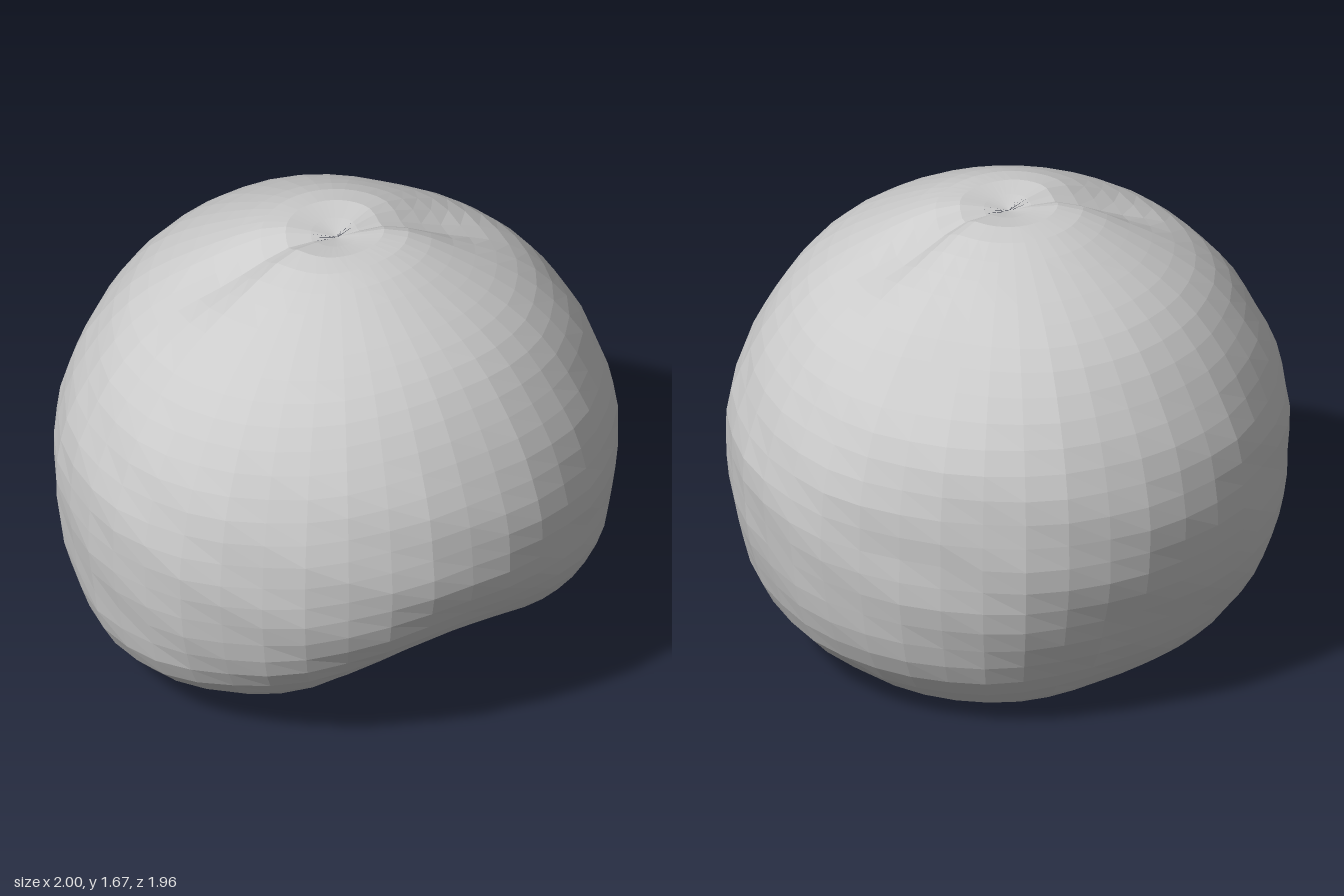
import * as THREE from 'three';

const COLS = 40, ROWS = 34;

// Shared upper profile, [radius, height], from the crown down to the widest ring
const crown = [[0, 1.645], [0.2, 1.675], [0.45, 1.575], [0.7, 1.41], [0.88, 1.17], [0.965, 0.95], [0.985, 0.75]];

// Lower profile in eight directions: flank, lower flank, rim, hollow underside
const lower = [
  [[0.89, 0.53], [0.75, 0.40], [0.52, 0.335], [0.25, 0.315]], // front arch
  [[0.94, 0.47], [0.85, 0.30], [0.68, 0.185], [0.35, 0.22]],
  [[0.96, 0.50], [0.86, 0.22], [0.62, 0.075], [0.30, 0.18]],  // left
  [[0.95, 0.45], [0.83, 0.17], [0.66, 0.035], [0.30, 0.17]],
  [[0.93, 0.50], [0.78, 0.20], [0.50, 0.00], [0.22, 0.16]],   // back
  [[0.95, 0.45], [0.82, 0.18], [0.64, 0.05], [0.28, 0.14]],
  [[0.97, 0.50], [0.88, 0.20], [0.66, 0.06], [0.28, 0.14]],   // right
  [[0.95, 0.47], [0.86, 0.30], [0.70, 0.175], [0.34, 0.20]],
];
const underside = [0, 0.31];

// Broad dents: angle, height, depth
const dents = [[2.3, 1.43, 0.085], [2.25, 0.74, 0.02]];

const angleGap = (a, b) => Math.atan2(Math.sin(a - b), Math.cos(a - b));
const bell = (d, width) => Math.exp(-((d / width) ** 2));

// Smooth closed interpolation around the eight directions
function around(t, pick) {
  const i = Math.floor(t), f = t - i;
  const p = [-1, 0, 1, 2].map(k => pick(lower[(i + k + 8) % 8]));
  return p[1] + 0.5 * f * (p[2] - p[0] + f * (2 * p[0] - 5 * p[1] + 4 * p[2] - p[3]
    + f * (3 * (p[1] - p[2]) + p[3] - p[0])));
}

// Shallow crease running out from the crown at a given angle
const groove = (angle, centre, r) => bell(angleGap(angle, centre), 0.24) * bell(r - 0.35, 0.24);

// One meridian of the body, top to bottom
function meridian(angle) {
  const t = ((angle - 0.05) / (Math.PI * 2)) * 8;
  const pts = [
    ...crown,
    ...[0, 1, 2, 3].map(k => [around(t, d => d[k][0]), around(t, d => d[k][1])]),
    underside,
  ].map(([r, y]) => new THREE.Vector3(r, y, 0));
  return new THREE.CatmullRomCurve3(pts).getSpacedPoints(ROWS);
}

function bodyGeometry() {
  const pos = [], index = [];
  for (let j = 0; j < COLS; j++) {
    const a = (j / COLS) * Math.PI * 2;
    meridian(a).forEach((p, i) => {
      let r = Math.max(0, p.x), y = p.y;
      // Slightly wider than deep, with gentle lumps, dents and two crown creases
      const side = Math.min(1, r * r);
      const lump = Math.sin(5 * a + 6 * y) * Math.sin(3 * a - 7 * y + 1)
        + Math.sin(11 * a + 9 * y) * Math.sin(13 * y - 4 * a);
      r *= 1 + side * (0.006 * lump - 0.01 * Math.cos(2 * a) + 0.006 * Math.cos(4 * a));
      for (const [angle, height, depth] of dents)
        r -= depth * side * bell(angleGap(a, angle), 0.35) * bell(p.y - height, 0.17);
      if (i < ROWS / 2) y -= 0.055 * (groove(a, 1.5, r) + groove(a, 4.55, r));
      if (i === 0 || i === ROWS) r = 0;
      pos.push(r * Math.sin(a), Math.max(0, y), r * Math.cos(a));
    });
  }
  // Quads between neighbouring meridians, single triangles at the poles
  const n = ROWS + 1;
  for (let j = 0; j < COLS; j++) {
    for (let i = 0; i < ROWS; i++) {
      const a = j * n + i, d = ((j + 1) % COLS) * n + i;
      if (i < ROWS - 1) index.push(a, a + 1, d + 1);
      if (i > 0) index.push(a, d + 1, d);
    }
  }
  const geo = new THREE.BufferGeometry();
  geo.setAttribute('position', new THREE.Float32BufferAttribute(pos, 3));
  geo.setIndex(index);
  geo.computeVertexNormals();
  return geo;
}

export function createModel() {
  const group = new THREE.Group();
  group.name = 'lumpyBoulder';
  const body = new THREE.Mesh(
    bodyGeometry(),
    new THREE.MeshStandardMaterial({ color: 0xcccccc, flatShading: true }),
  );
  body.name = 'body';
  group.add(body);
  return group;
}
